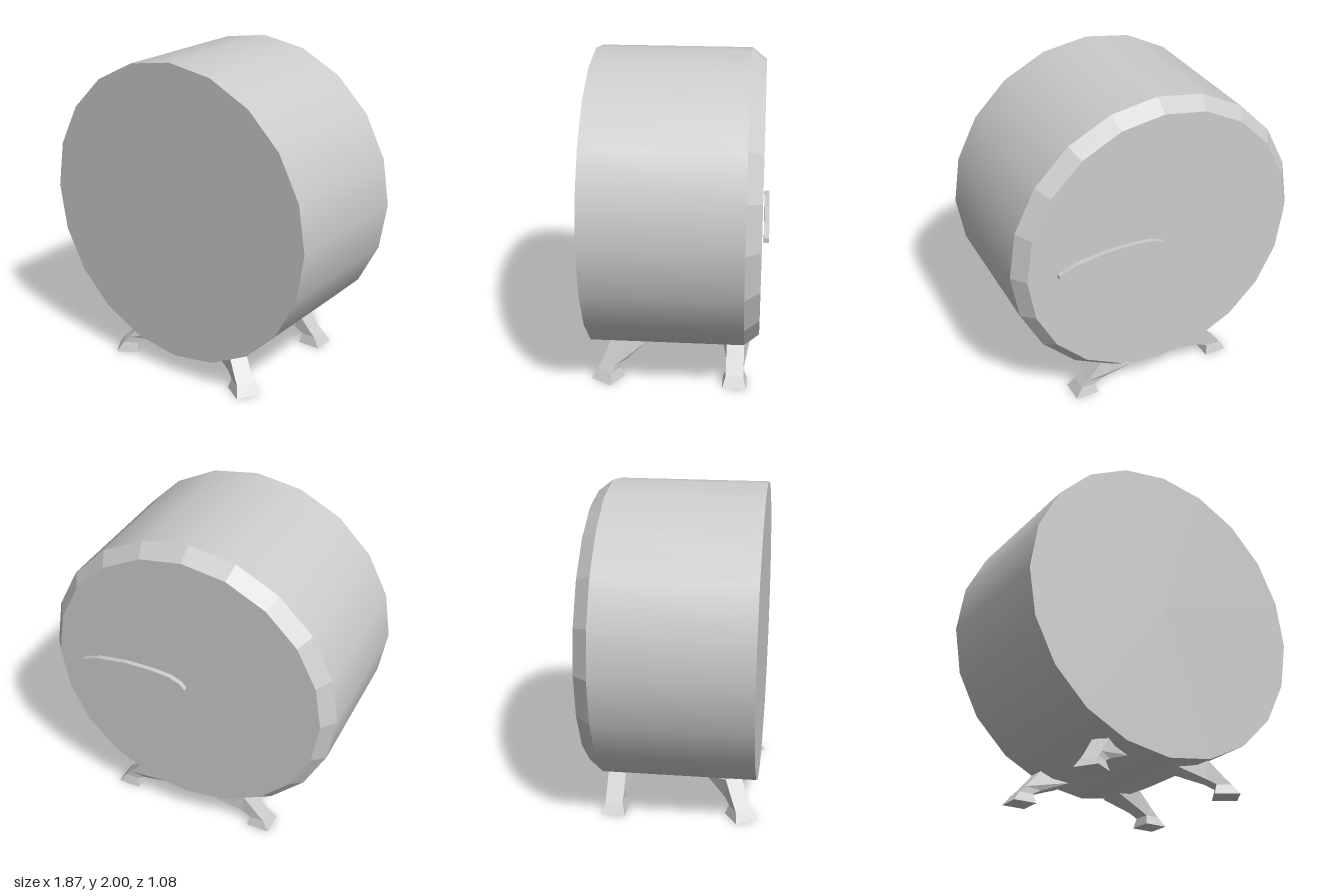
import * as THREE from 'three';

const SIDES = 20, RADIUS = 0.936, BACK_RADIUS = 0.866, CENTRE_Y = 1.064;
const FRONT_Z = 0.53, RIM_Z = -0.41, BACK_Z = -0.5;

const smooth = new THREE.MeshStandardMaterial({ color: 0xcccccc });
const flat = new THREE.MeshStandardMaterial({ color: 0xcccccc, flatShading: true });

function addMesh(parent, name, geometry, material) {
  const mesh = new THREE.Mesh(geometry, material);
  mesh.name = name;
  parent.add(mesh);
  return mesh;
}

// Open tube along z from z0 (front) to z1 (back)
function tube(rFront, rBack, z0, z1) {
  return new THREE.CylinderGeometry(rFront, rBack, z0 - z1, SIDES, 1, true)
    .rotateX(Math.PI / 2).translate(0, 0, (z0 + z1) / 2);
}

// Flat end disc with a corner at the top, facing +z
function disc(radius) {
  return new THREE.CircleGeometry(radius, SIDES, Math.PI / 2);
}

// Leg lofted through four-cornered sections, reaching outwards along +x
function legGeometry() {
  // [outer x, outer y, outer half width, inner x, inner y, inner half width]
  const sections = [
    [0.075, 0, 0.075, -0.075, 0, 0.075],
    [0.03, 0.06, 0.055, -0.06, 0.06, 0.055],
    [-0.01, 0.1, 0.055, -0.115, 0.09, 0.055],
    [-0.11, 0.215, 0.055, -0.295, 0.16, 0.09],
  ];
  const rings = sections.map(([ox, oy, ow, ix, iy, iw]) => [
    [ox, oy, ow], [ox, oy, -ow], [ix, iy, -iw], [ix, iy, iw],
  ]);
  const pos = [];
  const quad = (a, b, c, d) => pos.push(...a, ...b, ...c, ...a, ...c, ...d);
  for (let s = 0; s < rings.length - 1; s++) {
    for (let i = 0; i < 4; i++) {
      const j = (i + 1) % 4;
      quad(rings[s][i], rings[s][j], rings[s + 1][j], rings[s + 1][i]);
    }
  }
  const foot = rings[0], top = rings[rings.length - 1];
  quad(foot[3], foot[2], foot[1], foot[0]);
  quad(...top);
  const geometry = new THREE.BufferGeometry();
  geometry.setAttribute('position', new THREE.Float32BufferAttribute(pos, 3));
  geometry.computeVertexNormals();
  return geometry;
}

export function createModel() {
  const model = new THREE.Group();
  model.name = 'roundBodyOnLegs';

  // Round body with a bevelled back rim
  const body = new THREE.Group();
  body.name = 'body';
  body.position.y = CENTRE_Y;
  model.add(body);
  addMesh(body, 'barrel', tube(RADIUS, RADIUS, FRONT_Z, RIM_Z), smooth);
  addMesh(body, 'frontFace', disc(RADIUS).translate(0, 0, FRONT_Z), smooth);
  addMesh(body, 'backBevel', tube(RADIUS, BACK_RADIUS, RIM_Z, BACK_Z), flat);
  addMesh(body, 'backFace', disc(BACK_RADIUS).rotateY(Math.PI).translate(0, 0, BACK_Z), smooth);

  // Thin tapering handle on the back, blunt near the centre
  const outline = [
    [-0.02, 0.01], [-0.01, -0.04], [0.04, -0.065], [0.12, -0.08], [0.3, -0.084],
    [0.46, -0.066], [0.65, -0.03], [0.685, -0.01], [0.685, 0.012], [0.58, 0.055],
    [0.38, 0.084], [0.2, 0.086], [0.08, 0.074], [0.01, 0.045],
  ].map(([x, y]) => new THREE.Vector2(x, y));
  const handle = new THREE.ExtrudeGeometry(new THREE.Shape(outline), { depth: 0.03, bevelEnabled: false });
  addMesh(body, 'backHandle', handle.translate(0, 0, -0.54), flat);

  // Four legs: the front pair is turned towards the front, the back pair points sideways
  const leg = legGeometry();
  const pairs = [
    { name: 'frontLeg', x: 0.465, z: 0.44, turn: THREE.MathUtils.degToRad(32) },
    { name: 'backLeg', x: 0.475, z: -0.355, turn: 0 },
  ];
  for (const { name, x, z, turn } of pairs) {
    for (const side of [1, -1]) {
      const mesh = addMesh(model, name + (side > 0 ? 'Left' : 'Right'), leg, flat);
      mesh.position.set(side * x + 0.005, 0, z);
      mesh.rotation.y = side > 0 ? -turn : turn - Math.PI;
    }
  }
  return model;
}
